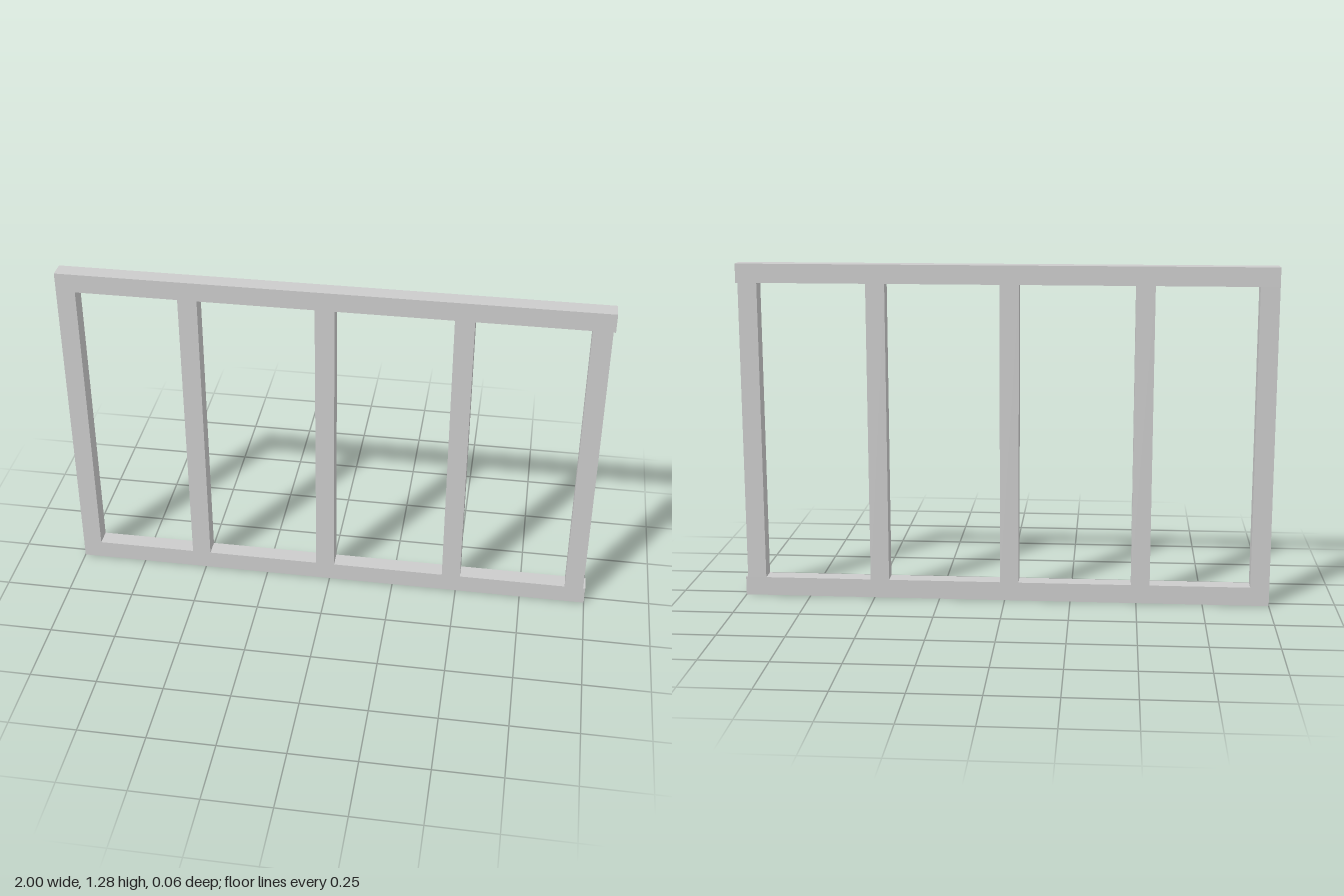
import * as THREE from 'three';

export function createModel() {
  const group = new THREE.Group();
  const material = new THREE.MeshStandardMaterial({ color: 0xcccccc });
  const beam = 0.071, depth = 0.064, height = 1.278;

  const addBeam = (name, width, tall, x, y) => {
    const mesh = new THREE.Mesh(new THREE.BoxGeometry(width, tall, depth), material);
    mesh.name = name;
    mesh.position.set(x, y, 0);
    group.add(mesh);
  };

  // Full-width horizontal rails
  addBeam('bottomRail', 2, beam, 0, beam / 2);
  addBeam('topRail', 2, beam, 0, height - beam / 2);

  // Upright studs between the rails; the last sits slightly inside the rail ends
  const studLeftEdges = [-1, -0.551, -0.053, 0.444, 0.921];
  studLeftEdges.forEach((edge, i) => {
    addBeam(`stud${i + 1}`, beam, height - 2 * beam, edge + beam / 2, height / 2);
  });

  return group;
}
